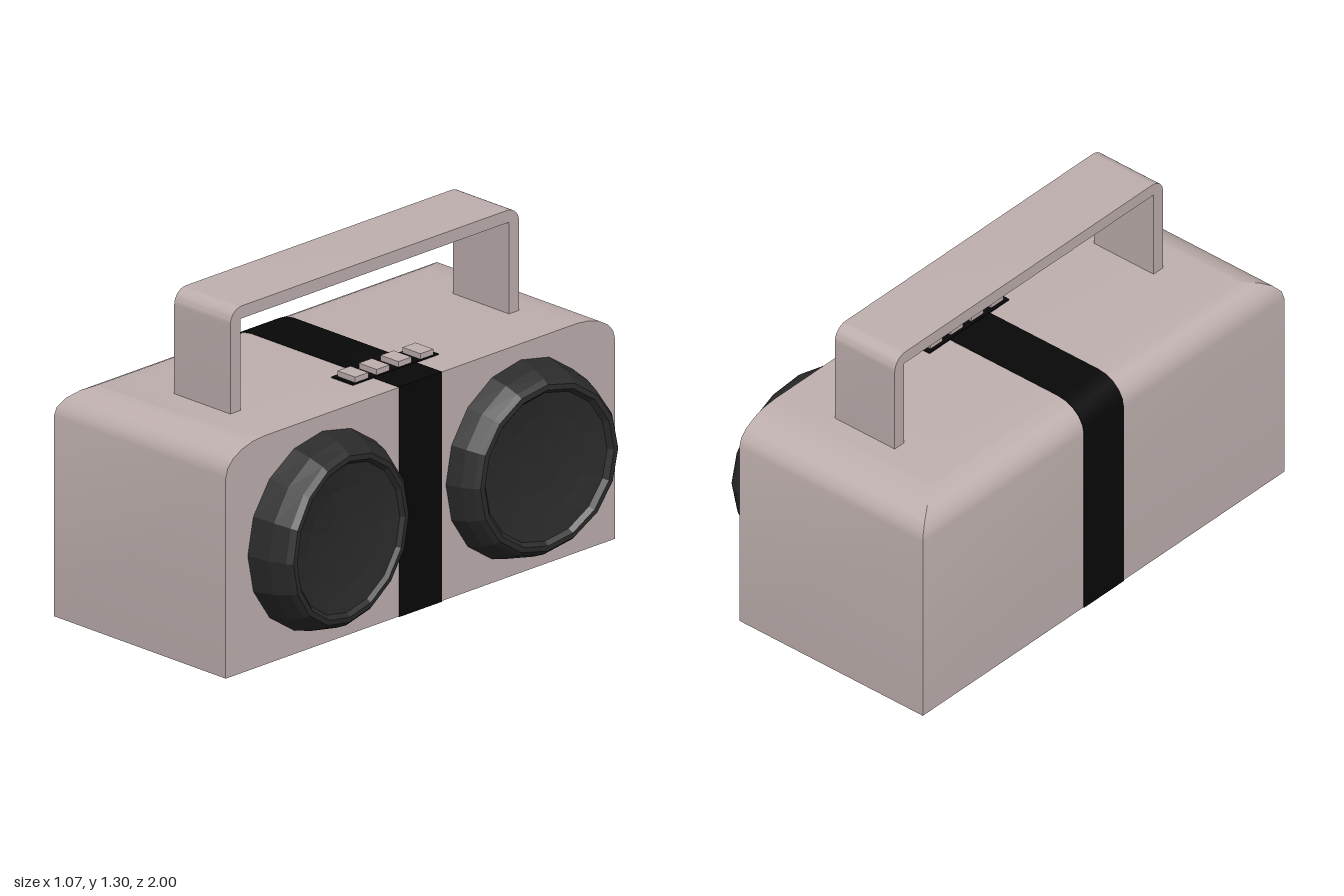
import * as THREE from 'three';
import { toCreasedNormals } from 'three/addons/utils/BufferGeometryUtils.js';

const FRONT = 0.357, BACK = -0.532, TOP = 0.895, ROUND_Y = 0.112;
const STEPS = 5;

const shell = new THREE.MeshStandardMaterial({ color: 0xbfb0af });
const black = new THREE.MeshStandardMaterial({ color: 0x080808 });
const dark = new THREE.MeshStandardMaterial({ color: 0x2b2b2b, flatShading: true });

function add(parent, name, geometry, material, x = 0, y = 0, z = 0) {
  const mesh = new THREE.Mesh(geometry, material);
  mesh.name = name;
  mesh.position.set(x, y, z);
  parent.add(mesh);
  return mesh;
}

// Elliptical shoulder: inset fraction (0..1) and height for each step
function shoulder() {
  return Array.from({ length: STEPS + 1 }, (_, i) => {
    const a = (i / STEPS) * Math.PI / 2;
    return { inset: 1 - Math.cos(a), y: TOP - ROUND_Y * (1 - Math.sin(a)) };
  });
}

// Cabinet: stacked rectangles, drawn in at the back and both ends, straight at the speaker side
function bodyGeometry() {
  const levels = [{ inset: 0, y: 0 }, ...shoulder()];
  const rings = levels.map(({ inset, y }) => {
    const zh = 1 - 0.2 * inset, xb = BACK + 0.125 * inset;
    return [[FRONT, y, zh], [FRONT, y, -zh], [xb, y, -zh], [xb, y, zh]];
  });
  const pos = [];
  const quad = (a, b, c, d) => pos.push(...a, ...b, ...c, ...a, ...c, ...d);
  for (let k = 0; k < rings.length - 1; k++) {
    for (let i = 0; i < 4; i++) {
      const j = (i + 1) % 4;
      quad(rings[k][i], rings[k][j], rings[k + 1][j], rings[k + 1][i]);
    }
  }
  quad(...rings[rings.length - 1]);
  quad(...[...rings[0]].reverse());
  const g = new THREE.BufferGeometry();
  g.setAttribute('position', new THREE.Float32BufferAttribute(pos, 3));
  return toCreasedNormals(g, 0.5);
}

// Band that follows the cabinet profile all the way round
function bandGeometry(width) {
  const e = 0.002;
  const s = new THREE.Shape();
  s.moveTo(BACK - e, -e);
  s.lineTo(FRONT + e, -e);
  s.lineTo(FRONT + e, TOP + e);
  for (const p of shoulder().reverse()) s.lineTo(BACK - e + 0.125 * p.inset, p.y + e);
  const g = new THREE.ExtrudeGeometry(s, { depth: width, bevelEnabled: false });
  g.translate(0, 0, -width / 2);
  return toCreasedNormals(g, 0.5);
}

// Handle: arch with rounded outer corners, extruded across x
function handleGeometry() {
  const half = 0.742, top = 1.302, r = 0.06, inner = 0.69, base = 0.88;
  const s = new THREE.Shape();
  s.moveTo(-half, base);
  s.lineTo(-inner, base);
  s.lineTo(-inner, 1.253);
  s.lineTo(inner, 1.253);
  s.lineTo(inner, base);
  s.lineTo(half, base);
  s.lineTo(half, top - r);
  s.absarc(half - r, top - r, r, 0, Math.PI / 2, false);
  s.absarc(-half + r, top - r, r, Math.PI / 2, Math.PI, false);
  const g = new THREE.ExtrudeGeometry(s, { depth: 0.29, bevelEnabled: false, curveSegments: 5 });
  g.translate(0, 0, -0.145);
  g.rotateY(Math.PI / 2);
  return toCreasedNormals(g, 0.5);
}

// Speaker: 16-sided bowl with a rim and sunken cone, thicker toward the outer end
function speakerGeometry(side) {
  const profile = [
    [0.384, 0], [0.366, 0.07], [0.342, 0.122], [0.325, 0.14], [0.305, 0.142],
    [0.29, 0.126], [0.2, 0.112], [0.1, 0.104], [0, 0.102],
  ].map(([r, h]) => new THREE.Vector2(r, h));
  const g = new THREE.LatheGeometry(profile, 16);
  g.rotateZ(-Math.PI / 2);
  const p = g.attributes.position;
  for (let i = 0; i < p.count; i++) {
    const out = p.getZ(i) * side;
    const lean = 0.09 * out + 0.08 * out * out;
    p.setX(i, p.getX(i) + lean * Math.min(1, p.getX(i) / 0.14));
  }
  g.computeVertexNormals();
  return g;
}

export function createModel() {
  const model = new THREE.Group();
  model.name = 'portableStereo';

  add(model, 'cabinet', bodyGeometry(), shell);
  add(model, 'centreBand', bandGeometry(0.22), black);
  add(model, 'handle', handleGeometry(), shell, -0.031, 0, -0.007);

  for (const [name, side, z] of [['leftSpeaker', -1, -0.515], ['rightSpeaker', 1, 0.503]]) {
    add(model, name, speakerGeometry(side), dark, FRONT, 0.448, z);
  }

  // Button row on a thin black plate
  const buttons = new THREE.Group();
  buttons.name = 'buttonRow';
  model.add(buttons);
  add(buttons, 'buttonPlate', new THREE.BoxGeometry(0.11, 0.012, 0.44), black, 0.17, TOP - 0.001, -0.004);
  [-0.17, -0.057, 0.055, 0.165].forEach((z, i) => {
    add(buttons, `button${i + 1}`, new THREE.BoxGeometry(0.092, 0.045, 0.067), shell, 0.174, 0.899, z);
  });

  return model;
}
